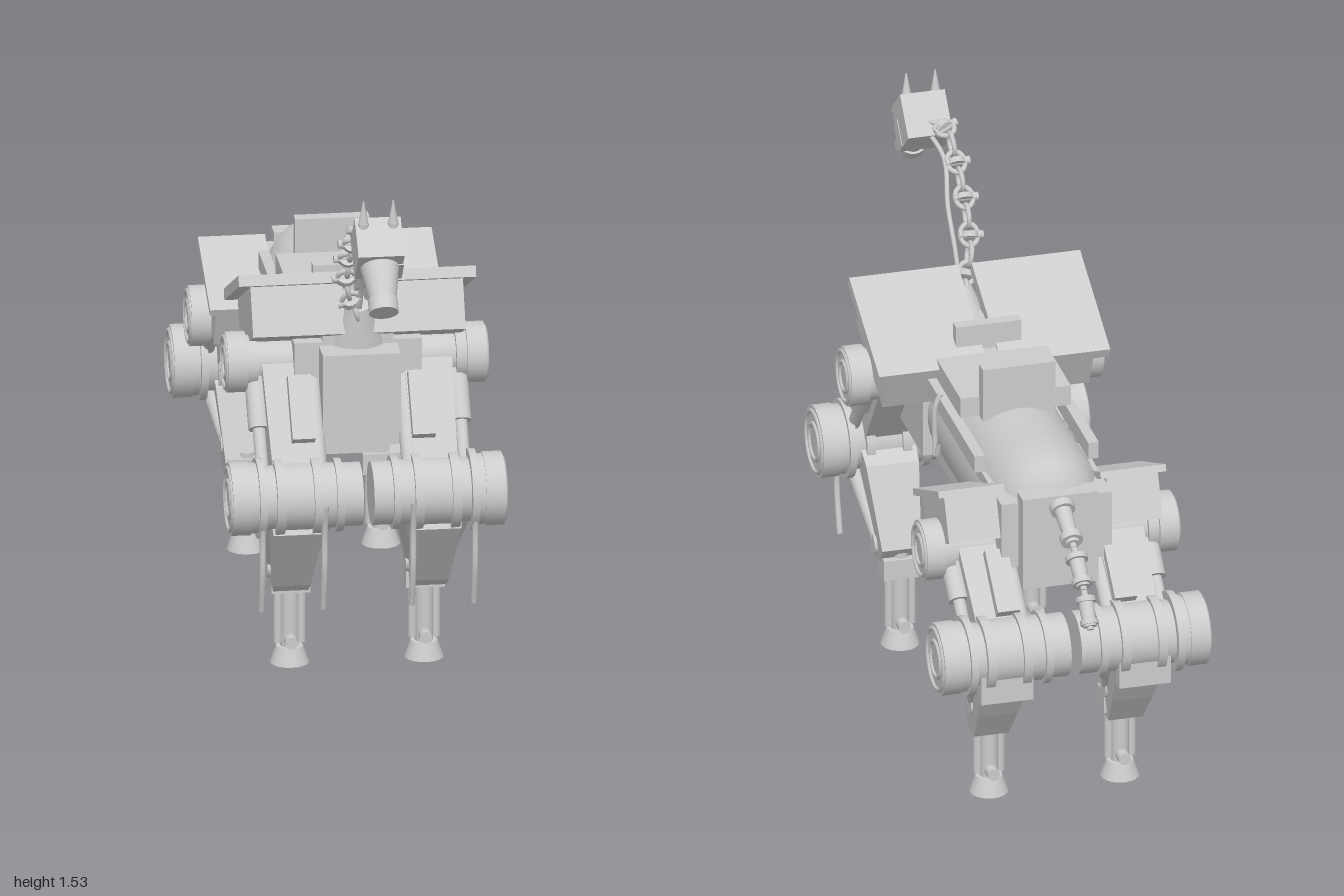
import * as THREE from 'three';

const V = (x, y, z) => new THREE.Vector3(x, y, z);

export function createModel() {
  const model = new THREE.Group();
  const metal = new THREE.MeshStandardMaterial({ color: 0xcccccc });
  metal.name = 'light grey metal';

  const add = (parent, name, geo) => {
    const mesh = new THREE.Mesh(geo, metal);
    mesh.name = name;
    parent.add(mesh);
    return mesh;
  };
  // Box by size and centre, tilted around x
  const box = (parent, name, [w, h, d], [x, y, z], tilt = 0) => {
    const mesh = add(parent, name, new THREE.BoxGeometry(w, h, d));
    mesh.position.set(x, y, z);
    mesh.rotation.x = tilt;
    return mesh;
  };
  // Round or square strut between two points
  const strut = (parent, name, a, b, rA, rB = rA, sides = 14, wide = 1) => {
    const geo = new THREE.CylinderGeometry(rB, rA, a.distanceTo(b), sides);
    if (sides === 4) geo.rotateY(Math.PI / 4);
    geo.scale(wide, 1, 1);
    const mesh = add(parent, name, sides === 4 ? geo.toNonIndexed() : geo);
    if (sides === 4) mesh.geometry.computeVertexNormals();
    mesh.position.copy(a).add(b).multiplyScalar(0.5);
    mesh.quaternion.setFromUnitVectors(V(0, 1, 0), b.clone().sub(a).normalize());
    return mesh;
  };
  // Side profile of [z, y] points, extruded across x, narrowing downwards
  const plate = (parent, name, pts, x, wTop, wBottom = wTop) => {
    const shape = new THREE.Shape(pts.map(([z, y]) => new THREE.Vector2(z, y)));
    const geo = new THREE.ExtrudeGeometry(shape, { depth: 1, bevelEnabled: false });
    geo.translate(0, 0, -0.5).rotateY(-Math.PI / 2);
    const ys = pts.map((p) => p[1]), lo = Math.min(...ys), hi = Math.max(...ys);
    const pos = geo.attributes.position;
    for (let i = 0; i < pos.count; i++) {
      pos.setX(i, pos.getX(i) * THREE.MathUtils.lerp(wBottom, wTop, (pos.getY(i) - lo) / (hi - lo)));
    }
    geo.computeVertexNormals();
    add(parent, name, geo).position.x = x;
  };
  // Stepped drum along x: list of [x0, x1, radius], with rings on the outer face
  const drum = (parent, name, s, y, z, steps) => {
    for (const [x0, x1, r] of steps) {
      strut(parent, name, V(s * x0, y, z), V(s * x1, y, z), r, r, 24);
    }
    const [, end, r] = steps[steps.length - 1];
    for (const k of [0.85, 0.5]) {
      const ring = add(parent, name + 'Ring', new THREE.TorusGeometry(r * k, 0.007, 6, 28));
      ring.position.set(s * end, y, z);
      ring.rotation.y = Math.PI / 2;
    }
  };
  const tube = (parent, name, pts, r) =>
    add(parent, name, new THREE.TubeGeometry(new THREE.CatmullRomCurve3(pts), 18, r, 8));

  // Barrel body: rings of [z, centre y, half width, half height]
  const rings = [[0.39, 0.81, 0.001, 0.001], [0.39, 0.81, 0.12, 0.13], [0.34, 0.81, 0.15, 0.16], [0.27, 0.805, 0.165, 0.175],
    [0, 0.808, 0.168, 0.178], [-0.2, 0.81, 0.168, 0.178], [-0.4, 0.828, 0.165, 0.167], [-0.5, 0.84, 0.155, 0.16],
    [-0.57, 0.84, 0.13, 0.145], [-0.62, 0.84, 0.1, 0.125], [-0.62, 0.84, 0.001, 0.001]];
  const n = 40, verts = [], index = [];
  rings.forEach(([z, cy, rx, ry], j) => {
    for (let i = 0; i < n; i++) {
      const t = (i / n) * Math.PI * 2;
      verts.push(rx * Math.cos(t), cy + ry * Math.sin(t), z);
      const a = j * n + i, b = j * n + ((i + 1) % n);
      if (j < rings.length - 1) index.push(a, a + n, b, b, a + n, b + n);
    }
  });
  const hull = new THREE.BufferGeometry();
  hull.setAttribute('position', new THREE.Float32BufferAttribute(verts, 3));
  hull.setIndex(index);
  hull.computeVertexNormals();
  add(model, 'barrelBody', hull);

  // Blocks around the barrel
  box(model, 'shoulderBlock', [0.36, 0.27, 0.24], [0, 0.82, 0.27]);
  box(model, 'shoulderCap', [0.2, 0.08, 0.24], [0, 0.98, 0.27]);
  box(model, 'chestPlate', [0.22, 0.27, 0.1], [0, 0.81, 0.43]);
  plate(model, 'hipBlock', [[-0.3, 0.9], [-0.62, 0.9], [-0.62, 0.7], [-0.3, 0.64]], 0, 0.32);
  box(model, 'rumpPlate', [0.22, 0.28, 0.06], [0, 0.79, -0.635]);
  box(model, 'bellyPlate', [0.2, 0.04, 0.81], [0, 0.613, -0.095]);
  // Saddle
  box(model, 'saddleSeat', [0.32, 0.06, 0.33], [0, 0.99, -0.015]);
  box(model, 'saddleBack', [0.21, 0.16, 0.04], [0, 1.04, -0.197]);
  box(model, 'saddleFront', [0.19, 0.1, 0.035], [0, 1.045, 0.125]);
  strut(model, 'neckBase', V(0, 0.95, 0.36), V(0, 1.07, 0.41), 0.08, 0.03);

  for (const s of [1, -1]) {
    // Side rails and hooks
    box(model, 'sideRail', [0.03, 0.05, 0.55], [s * 0.165, 0.925, -0.13]);
    tube(model, 'sideHook', [V(s * 0.175, 0.96, -0.02), V(s * 0.19, 0.92, -0.02), V(s * 0.19, 0.8, -0.02),
      V(s * 0.19, 0.77, -0.03), V(s * 0.185, 0.82, -0.045)], 0.008);
    // Tilted armour over shoulders and hips
    box(model, 'shoulderPanel', [0.315, 0.032, 0.36], [s * 0.1775, 1.065, 0.213], -0.443);
    box(model, 'shoulderBox', [0.26, 0.15, 0.31], [s * 0.17, 0.99, 0.25], -0.443);
    box(model, 'hipPanel', [0.19, 0.02, 0.3], [s * 0.235, 0.87, -0.437], 0.42);
    box(model, 'hipBox', [0.15, 0.13, 0.26], [s * 0.235, 0.8, -0.468], 0.42);
  }

  // Leg: hip joint, knee joint and foot in the side plane
  const leg = (name, s, hip, knee, foot, guard, f) => {
    const g = new THREE.Group();
    g.name = name;
    model.add(g);
    const P = (x, [z, y], dz = 0, dy = 0) => V(s * x, y + dy, z + dz);
    drum(g, 'hipDrum', s, hip[1], hip[0], [[0.12, 0.28, 0.06], [0.28, 0.31, 0.075], [0.31, 0.365, 0.086]]);
    drum(g, 'kneeDrum', s, knee[1], knee[0], [[0.015, 0.07, 0.09], [0.07, 0.09, 0.104], [0.09, 0.13, 0.092],
      [0.13, 0.155, 0.107], [0.155, 0.235, 0.095], [0.235, 0.26, 0.107], [0.26, 0.29, 0.09],
      [0.29, 0.31, 0.114], [0.31, 0.33, 0.1], [0.33, 0.385, 0.104]]);

    // Upper limb with pistons
    strut(g, 'upperLimb', P(0.2, hip), P(0.2, knee), 0.075, 0.065, 4, 1.3);
    strut(g, 'upperPistonSleeve', P(0.285, hip), P(0.285, [(hip[0] + knee[0]) / 2, (hip[1] + knee[1]) / 2]), 0.03);
    strut(g, 'upperPistonRod', P(0.285, hip), P(0.285, knee), 0.018);
    strut(g, 'upperInnerRod', P(0.13, hip, f * 0.03), P(0.13, knee, f * 0.03), 0.025);
    const mid = [hip[0] * 0.6 + knee[0] * 0.4, hip[1] * 0.6 + knee[1] * 0.4];
    box(g, 'upperCover', [0.065, 0.19, 0.05], [s * 0.17, mid[1] + 0.03, mid[0] + f * 0.05],
      Math.atan2(knee[0] - hip[0], knee[1] - hip[1]) + Math.PI);

    // Lower limb guard with pistons
    plate(g, 'lowerGuard', guard, s * 0.195, 0.165, 0.1);
    const ankle = [foot, 0.27];
    for (const x of [0.105, 0.285]) {
      const low = x < 0.2 ? 0.15 : 0.24;
      strut(g, 'lowerPiston', P(x, knee, 0, -0.05), P(low, ankle, f * 0.03, 0.02), 0.025, 0.016);
      strut(g, 'guardBolt', P(low - 0.02, ankle, f * 0.04, 0.03), P(low + 0.02, ankle, f * 0.04, 0.03), 0.03);
    }
    // Hanging cables
    if (f > 0) {
      for (const x of [0.125, 0.3]) {
        tube(g, 'cable', [P(x, knee, 0.1, 0), P(x, knee, 0.08, -0.09), P(x, knee, 0.075, -0.2), P(x, knee, 0.045, -0.32)], 0.009);
      }
    } else {
      box(g, 'kneeHook', [0.15, 0.1, 0.035], [s * 0.2, knee[1] - 0.07, knee[0] - 0.065]);
    }

    // Shin posts, ankle bolts and foot
    strut(g, 'shin', V(s * 0.19, 0.05, foot), V(s * 0.19, 0.29, foot), 0.026);
    for (const x of [0.157, 0.223]) strut(g, 'shinRod', V(s * x, 0.06, foot), V(s * x, 0.26, foot), 0.013, 0.013, 8);
    box(g, 'ankleBlock', [0.11, 0.06, 0.07], [s * 0.19, 0.245, foot]);
    strut(g, 'ankleBolt', V(s * 0.19, 0.072, foot - 0.055), V(s * 0.19, 0.072, foot + 0.055), 0.018);
    strut(g, 'foot', V(s * 0.19, 0, foot), V(s * 0.19, 0.05, foot), 0.055, 0.038, 20);
  };
  const frontGuard = [[0.6, 0.46], [0.46, 0.26], [0.43, 0.235], [0.36, 0.26], [0.32, 0.31], [0.42, 0.53], [0.52, 0.6]];
  const rearGuard = [[-0.65, 0.46], [-0.56, 0.24], [-0.57, 0.2], [-0.64, 0.195], [-0.71, 0.29], [-0.81, 0.44], [-0.75, 0.56]];
  for (const s of [1, -1]) {
    const side = s > 0 ? 'Left' : 'Right';
    leg('front' + side + 'Leg', s, [0.31, 0.88], [0.555, 0.56], 0.36, frontGuard, 1);
    leg('rear' + side + 'Leg', s, [-0.505, 0.73], [-0.75, 0.51], -0.595, rearGuard, -1);
  }

  // Neck of chain links around a thin cable
  const neck = new THREE.CatmullRomCurve3([V(0, 1.03, 0.4), V(-0.04, 1.14, 0.465), V(-0.05, 1.24, 0.54),
    V(-0.05, 1.33, 0.64), V(-0.04, 1.4, 0.73), V(0, 1.37, 0.8)]);
  const links = 11;
  for (let i = 0; i < links; i++) {
    const t = (i + 0.4) / links, p = neck.getPointAt(t);
    const holder = new THREE.Group();
    holder.name = 'neckLink';
    holder.position.copy(p);
    holder.quaternion.setFromUnitVectors(V(0, 1, 0), neck.getTangentAt(t));
    model.add(holder);
    const ring = add(holder, 'linkRing', new THREE.TorusGeometry(0.026, 0.007, 8, 18));
    ring.scale.y = 1.2;
    ring.rotation.y = i % 2 ? 0 : Math.PI / 2;
    if (i % 2) {
      strut(holder, 'linkPin', V(-0.04, 0, 0), V(0.03, 0, 0), 0.012, 0.012, 10);
      strut(holder, 'linkCollar', V(0, -0.008, 0), V(0, 0.008, 0), 0.026);
    }
  }
  tube(model, 'neckCable', [V(0, 1.02, 0.4), V(0, 1.15, 0.47), V(0, 1.25, 0.55), V(-0.02, 1.34, 0.66), V(0, 1.38, 0.78)], 0.007);

  // Head, snout and ears
  const tilt = 0.75;
  box(model, 'head', [0.13, 0.13, 0.125], [0, 1.385, 0.825], tilt);
  strut(model, 'snout', V(0, 1.345, 0.865), V(0, 1.265, 0.945), 0.056, 0.037, 20);
  strut(model, 'snoutTip', V(0, 1.27, 0.935), V(0, 1.24, 0.963), 0.042, 0.042, 20);
  box(model, 'cheekPlate', [0.02, 0.08, 0.05], [0.057, 1.34, 0.84], tilt);
  for (const s of [1, -1]) {
    strut(model, 'earBase', V(s * 0.042, 1.44, 0.835), V(s * 0.042, 1.465, 0.837), 0.016);
    strut(model, 'ear', V(s * 0.042, 1.46, 0.837), V(s * 0.042, 1.53, 0.842), 0.015, 0.002, 12);
  }

  // Segmented tail
  const tail = [[-0.64, 0.92], [-0.81, 0.835], [-0.915, 0.755], [-0.985, 0.665]];
  for (let i = 0; i < 3; i++) {
    const a = V(0, tail[i][1], tail[i][0]), b = V(0, tail[i + 1][1], tail[i + 1][0]);
    const at = (t) => a.clone().lerp(b, t);
    strut(model, 'tailSegment', at(0.15), at(0.92), 0.026 - i * 0.002, 0.02);
    strut(model, 'tailCollar', at(0.18), at(0.3), 0.035 - i * 0.003);
    strut(model, 'tailCollar', at(0.75), at(0.87), 0.032 - i * 0.003);
    strut(model, 'tailCore', a, b, 0.01, 0.01, 8);
  }
  return model;
}
